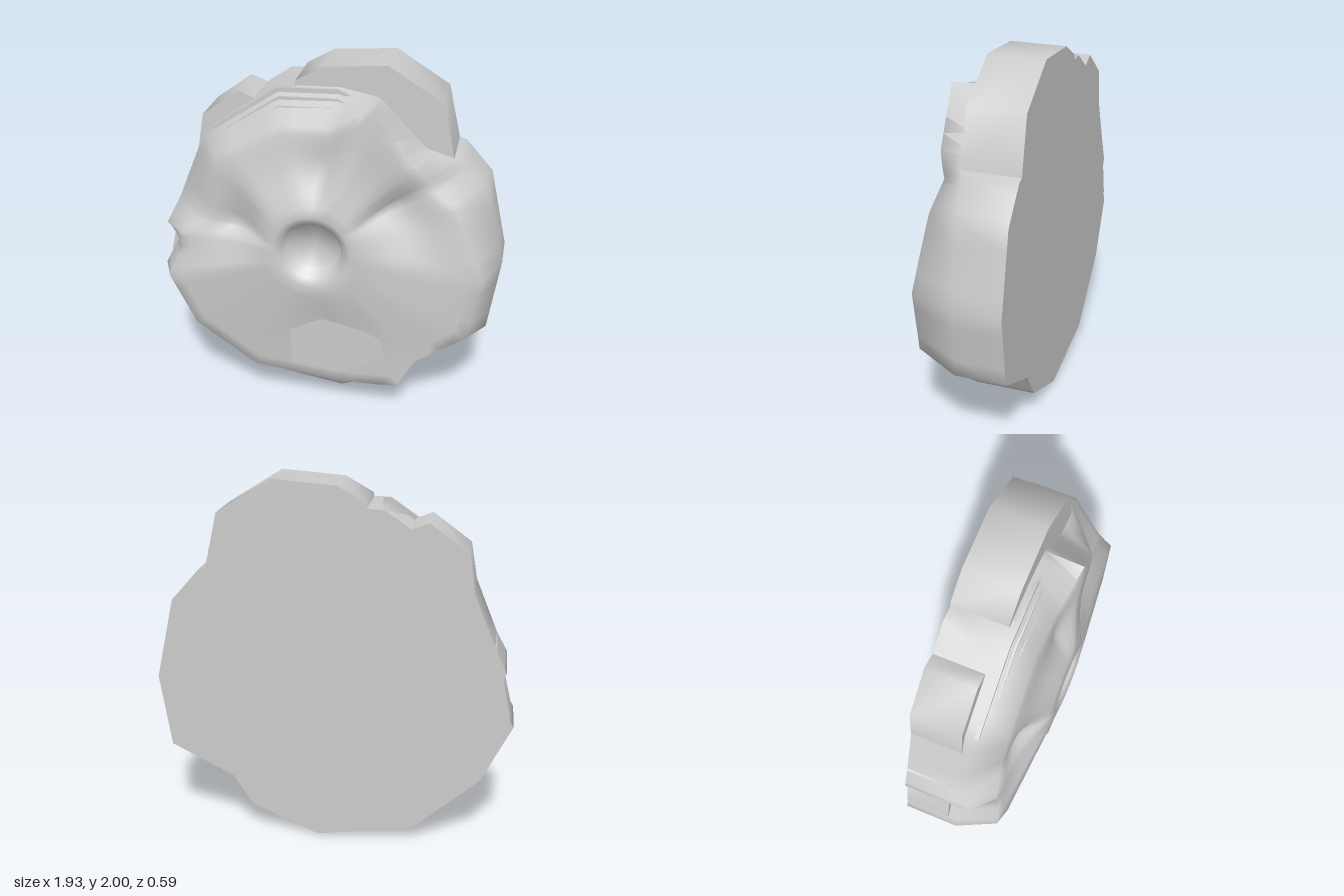
import * as THREE from 'three';
import { toCreasedNormals } from 'three/addons/utils/BufferGeometryUtils.js';

const BACK = -0.295, CX = -0.04, CY = 1.03;

// Each spoke: outline x, y, z; inset of the front edge; front edge z; valley depth
const SPOKES = [
  [0.96, 0.9, -0.05, 0.91, 0.21, 0.01],
  [0.86, 1.34, -0.03, 0.84, 0.17, 0.06],
  [0.71, 1.51, 0, 0.8, 0.15, 0.07],
  [0.52, 1.57, 0.04, 0.93, 0.2, 0.03],
  [0.27, 1.83, 0.02, 0.99, 0.22, 0.02],
  [0.06, 1.87, 0.03, 0.8, 0.17, 0.05],
  [-0.27, 1.86, 0.03, 0.8, 0.16, 0.02],
  [-0.68, 1.58, 0.03, 0.85, 0.17, 0.01],
  [-0.86, 1.15, 0, 0.77, 0.15, 0.07],
  [-0.92, 1.02, 0.07, 0.86, 0.18, 0.04],
  [-0.87, 0.91, 0, 0.92, 0.19, 0.02],
  [-0.97, 0.72, 0, 0.9, 0.21, 0],
  [-0.81, 0.4, 0, 0.9, 0.21, 0],
  [-0.45, 0.08, 0, 0.85, 0.21, 0],
  [0.08, 0, 0.01, 0.83, 0.21, 0.03],
  [0.45, 0.16, 0.03, 0.97, 0.22, 0.02],
  [0.56, 0.33, 0, 0.95, 0.22, 0],
  [0.9, 0.5, -0.02, 0.9, 0.21, 0],
];

const inset = (x, y, s) => [CX + (x - CX) * s, CY + (y - CY) * s];

// Splits every outline segment so the inner rings become round
function refine(rows, parts) {
  return rows.flatMap((row, i) => {
    const next = rows[(i + 1) % rows.length];
    return Array.from({ length: parts }, (_, k) => row.map((v, c) => v + (next[c] - v) * k / parts));
  });
}

function createBody() {
  const spokes = refine(SPOKES, 4), n = spokes.length, rings = [];
  const addRing = (f) => rings.push(spokes.map(f));
  const round = (r, z) => ([x, y]) => {
    const a = Math.atan2(y - CY, x - CX);
    return [CX + r * Math.cos(a), CY + r * Math.sin(a), z];
  };

  // Flat back and upright side
  addRing(() => [CX, CY, BACK]);
  addRing(([x, y]) => [x, y, BACK]);
  addRing(([x, y, z]) => [x, y, z]);
  // Petals rising from the front edge to the rim, with valleys between them
  for (let i = 0; i < 10; i++) {
    const s = i / 10;
    addRing(([x, y, , scale, z, valley]) => {
      const [fx, fy] = inset(x, y, scale);
      const [rx, ry, rz] = round(0.21, 0.293)([x, y]);
      return [
        fx + (rx - fx) * s,
        fy + (ry - fy) * s,
        z + (rz - z) * s - valley * Math.sin(Math.PI * s) ** 2,
      ];
    });
  }
  // Dished hollow in the middle
  addRing(round(0.21, 0.293));
  addRing(round(0.165, 0.275));
  addRing(round(0.145, 0.2));
  addRing(round(0, 0.18));

  const index = [];
  for (let i = 0; i < rings.length - 1; i++) {
    for (let j = 0; j < n; j++) {
      const a = i * n + j, b = i * n + (j + 1) % n, c = b + n, d = a + n;
      if (i > 0) index.push(a, b, c);
      if (i < rings.length - 2) index.push(a, c, d);
    }
  }
  const geometry = new THREE.BufferGeometry();
  geometry.setAttribute('position', new THREE.Float32BufferAttribute(rings.flat(2), 3));
  geometry.setIndex(index);
  return toCreasedNormals(geometry, 1.2);
}

// Flat-fronted slab standing on the back plane
function createSlab(points, front) {
  const shape = new THREE.Shape(points.map(([x, y]) => new THREE.Vector2(x, y)));
  const geometry = new THREE.ExtrudeGeometry(shape, { depth: front - BACK, bevelEnabled: false });
  geometry.translate(0, 0, BACK);
  return toCreasedNormals(geometry, 1.2);
}

export function createModel() {
  const model = new THREE.Group();
  const material = new THREE.MeshStandardMaterial({ color: 0xcccccc });
  const add = (name, geometry) => {
    const mesh = new THREE.Mesh(geometry, material);
    mesh.name = name;
    model.add(mesh);
  };

  add('petalBody', createBody());

  // Outer petals behind the body
  add('upperBackPetal', createSlab(
    [[-0.18, 1.5], [0.67, 1.52], [0.6, 1.82], [0.31, 2], [-0.03, 1.975], [-0.18, 1.89]], 0.01));
  add('upperLeftBackPetal', createSlab(
    [[-0.74, 1.45], [-0.42, 1.45], [-0.41, 1.765], [-0.5, 1.8], [-0.705, 1.65]], -0.02));
  add('rightBackPetal', createSlab([[0.7, 0.8], [0.96, 0.9], [0.88, 1.2], [0.7, 1.3]], -0.05));
  add('leftBackPetal', createSlab([[-0.7, 0.7], [-0.7, 1.2], [-0.86, 1.16], [-0.95, 0.78]], -0.05));

  // Small petal lying on the lower front
  add('lowerFrontPetal', createSlab(
    [[-0.17, 0.28], [0.1, 0.25], [0.37, 0.38], [0.27, 0.72], [-0.17, 0.62]], 0.24));

  // Stepped layers on the upper shoulder
  for (let i = 0; i < 3; i++) {
    const crest = [[0.21, 1.8], ...SPOKES.slice(5, 8)].map(([x, y]) => inset(x, y, 1 - 0.05 * i));
    add('shoulderLayer', createSlab([[0.18, 1.5], ...crest], 0.05 + 0.025 * i));
  }
  return model;
}
